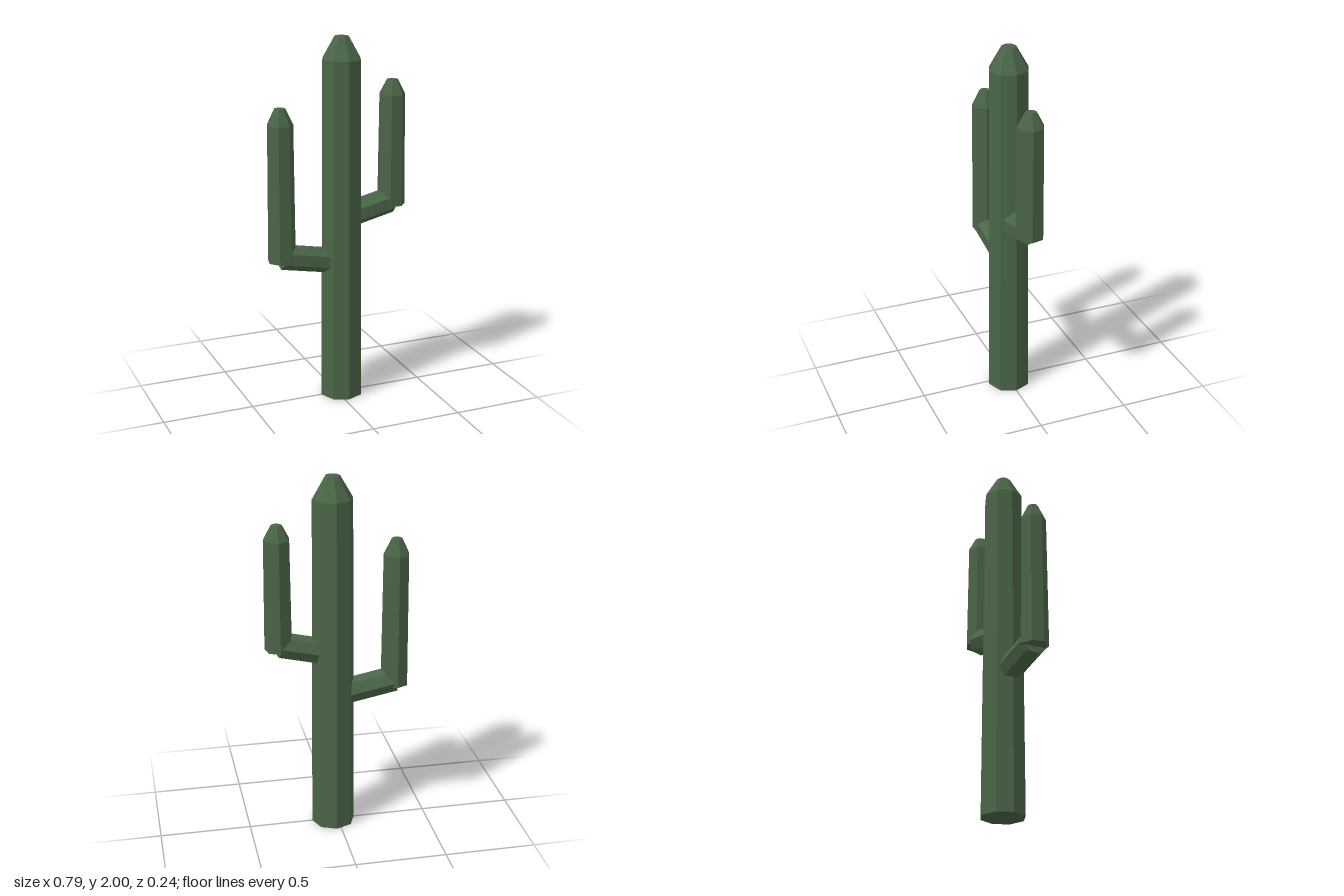
import * as THREE from 'three';

export function createModel() {
  const green = new THREE.MeshStandardMaterial({ color: 0x4a6547, flatShading: true });
  green.name = 'cactusGreen';

  // faceted column with one ridge pointing to -z
  function column(name, rTop, rBottom, height, sides) {
    const geometry = new THREE.CylinderGeometry(rTop, rBottom, height, sides, 1, false, Math.PI);
    const mesh = new THREE.Mesh(geometry, green);
    mesh.name = name;
    return mesh;
  }

  // upright stem with a tapered tip
  function stem(name, { x, y0, y1, y2, rBottom, rShoulder, rTip, sides }) {
    const group = new THREE.Group();
    group.name = name;
    const body = column(name + 'Body', rShoulder, rBottom, y1 - y0, sides);
    body.position.set(x, (y0 + y1) / 2, 0);
    const tip = column(name + 'Tip', rTip, rShoulder, y2 - y1, sides);
    tip.position.set(x, (y1 + y2) / 2, 0);
    group.add(body, tip);
    return group;
  }

  // sloping branch from inside the trunk out to an arm
  function branch(name, [ax, ay], [bx, by], radius) {
    const mesh = column(name, radius, radius, Math.hypot(bx - ax, by - ay), 7);
    mesh.position.set((ax + bx) / 2, (ay + by) / 2, 0);
    mesh.rotation.z = Math.atan2(by - ay, bx - ax) - Math.PI / 2;
    return mesh;
  }

  const arm = { rBottom: 0.076, rShoulder: 0.07, rTip: 0.029, sides: 7 };
  const cactus = new THREE.Group();
  cactus.name = 'cactus';
  cactus.add(
    stem('trunk', { x: 0.025, y0: 0, y1: 1.88, y2: 2, rBottom: 0.12, rShoulder: 0.108, rTip: 0.039, sides: 8 }),
    stem('leftArm', { x: 0.318, y0: 1.067, y1: 1.677, y2: 1.755, ...arm }),
    stem('rightArm', { x: -0.32, y0: 0.817, y1: 1.56, y2: 1.646, ...arm }),
    branch('leftBranch', [0.07, 1.035], [0.309, 1.091], 0.071),
    branch('rightBranch', [-0.01, 0.785], [-0.316, 0.843], 0.071),
  );
  return cactus;
}
